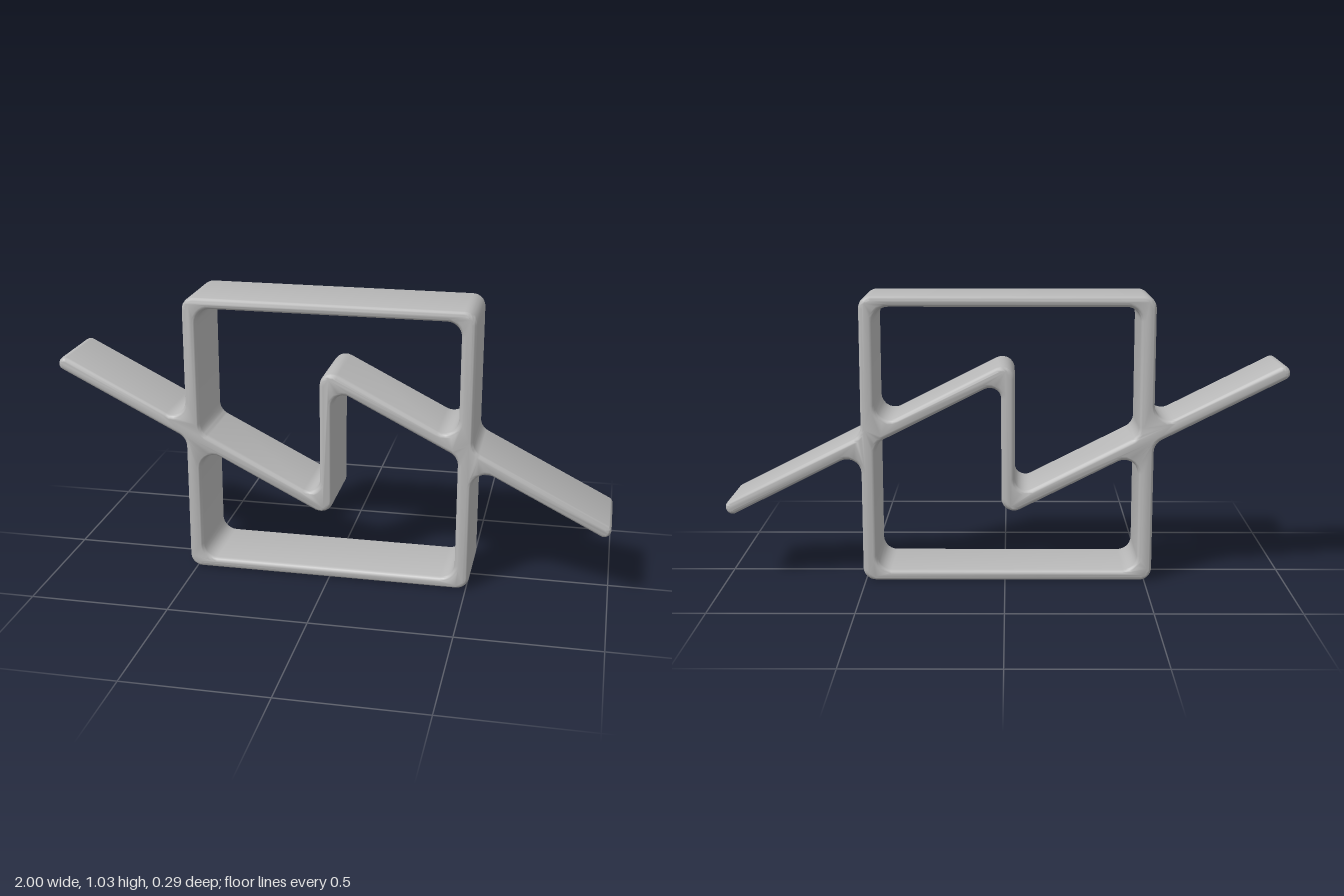
import * as THREE from 'three';
import { toCreasedNormals } from 'three/addons/utils/BufferGeometryUtils.js';

const V = (x, y) => new THREE.Vector2(x, y);

// Round each corner [x, y, radius] of a polygon with a true arc.
function roundedPoints(corners, steps = 7) {
  const points = [];
  corners.forEach(([x, y, r], i) => {
    const n = corners.length;
    const before = corners[(i + n - 1) % n];
    const after = corners[(i + 1) % n];
    const p = V(x, y);
    const u = V(before[0], before[1]).sub(p).normalize();
    const v = V(after[0], after[1]).sub(p).normalize();
    const half = Math.acos(u.dot(v)) / 2;
    const centre = u.clone().add(v).normalize().multiplyScalar(r / Math.sin(half)).add(p);
    const reach = r / Math.tan(half);
    const from = p.clone().addScaledVector(u, reach).sub(centre);
    const to = p.clone().addScaledVector(v, reach).sub(centre);
    const start = from.angle();
    const sweep = Math.atan2(from.cross(to), from.dot(to));
    for (let k = 0; k <= steps; k++) {
      const a = start + sweep * k / steps;
      points.push(V(centre.x + r * Math.cos(a), centre.y + r * Math.sin(a)));
    }
  });
  return points;
}

export function createModel() {
  const grey = new THREE.MeshStandardMaterial({ color: 0xb8b8b8 });
  grey.name = 'grey';

  // Centre lines of the two sloping bars, and their half thickness
  const slope = 0.505, h = 0.028, nx = 0.0113, ny = 0.0223;
  const leftBar = x => 0.52 - slope * (x + 0.5);
  const rightBar = x => 0.52 - slope * (x - 0.485);
  const fillet = 0.05, bend = 0.045, tip = 0.024;

  // Outside of the square frame with an arm on each side
  const outline = [
    [-0.527, 0.004, bend],
    [0.51, 0.004, bend],
    [0.51, rightBar(0.51) - h, fillet],
    [0.995 - nx, rightBar(0.995) - ny, tip],
    [0.995 + nx, rightBar(0.995) + ny, tip],
    [0.51, rightBar(0.51) + h, fillet],
    [0.51, 1.03, bend],
    [-0.527, 1.03, bend],
    [-0.527, leftBar(-0.527) + h, fillet],
    [-0.995 + nx, leftBar(-0.995) + ny, tip],
    [-0.995 - nx, leftBar(-0.995) - ny, tip],
    [-0.527, leftBar(-0.527) - h, fillet],
  ];

  // Openings above and below the zigzag
  const upperOpening = [
    [-0.473, 0.99, fillet],
    [0.457, 0.99, fillet],
    [0.457, rightBar(0.457) + h, fillet],
    [-0.035, rightBar(-0.035) + h, bend],
    [-0.035, leftBar(-0.035) + h, 0.04],
    [-0.473, leftBar(-0.473) + h, fillet],
  ];
  const lowerOpening = [
    [-0.473, 0.045, fillet],
    [-0.473, leftBar(-0.473) - h, fillet],
    [0.013, leftBar(0.013) - h, bend],
    [0.013, rightBar(0.013) - h, 0.04],
    [0.457, rightBar(0.457) - h, fillet],
    [0.457, 0.045, fillet],
  ];

  const shape = new THREE.Shape(roundedPoints(outline));
  shape.holes = [upperOpening, lowerOpening].map(c => new THREE.Path(roundedPoints(c)));

  // Extrude with soft edges, kept inside the drawn outline
  const depth = 0.286, soft = 0.016, softDepth = 0.022;
  const geometry = new THREE.ExtrudeGeometry(shape, {
    depth: depth - 2 * softDepth,
    bevelEnabled: true,
    bevelSize: soft,
    bevelOffset: -soft,
    bevelThickness: softDepth,
    bevelSegments: 5,
  });
  geometry.translate(0, 0, softDepth - depth / 2 + 0.0);

  const ring = new THREE.Mesh(toCreasedNormals(geometry, 0.8), grey);
  ring.name = 'squareFrameWithZigzag';

  const model = new THREE.Group();
  model.name = 'frameOrnament';
  model.add(ring);
  return model;
}
